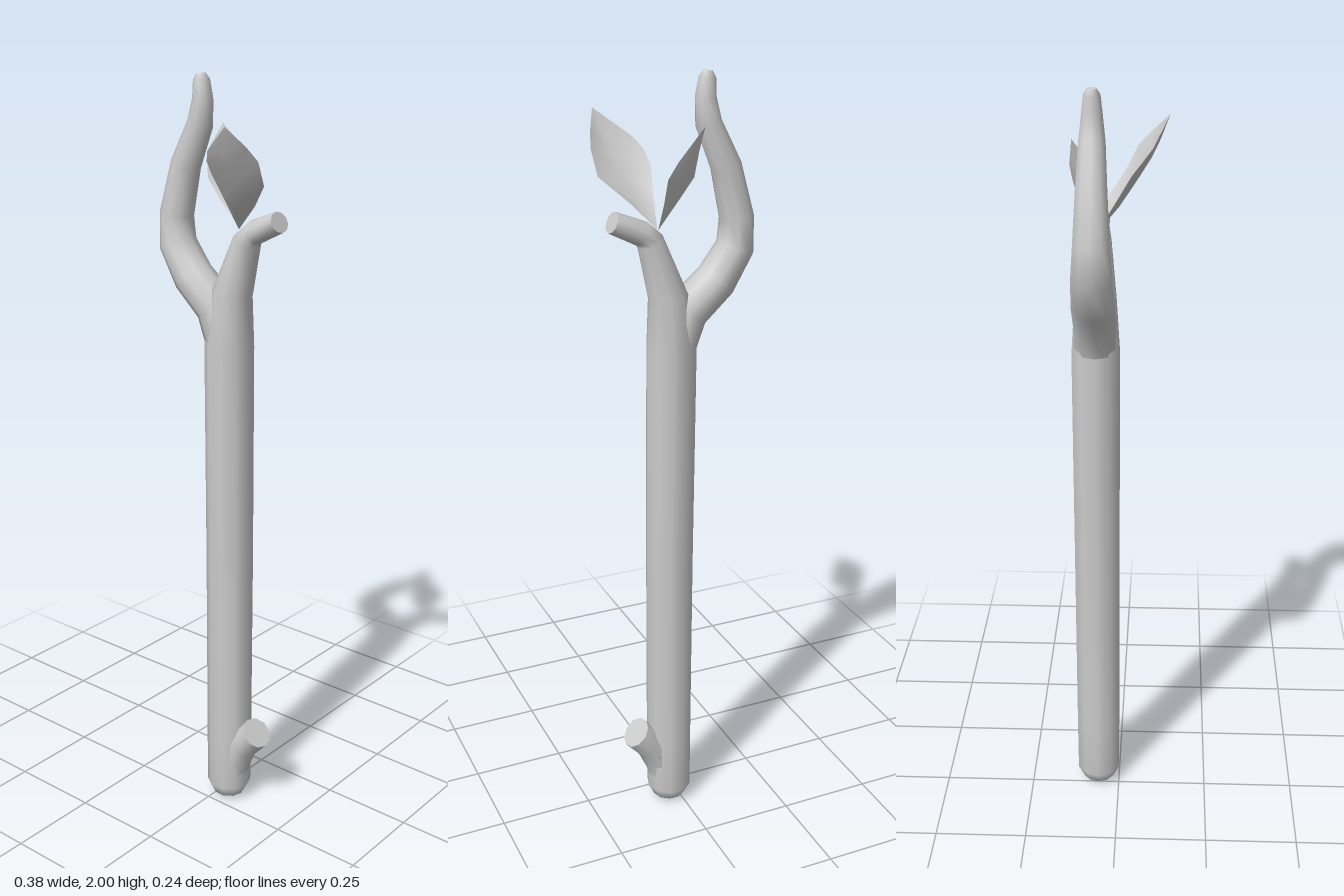
import * as THREE from 'three';

const SIDES = 10;
const AXIS_Z = -0.059;

const bark = new THREE.MeshStandardMaterial({ color: 0xcccccc });
const leafMaterial = new THREE.MeshStandardMaterial({ color: 0xcccccc, side: THREE.DoubleSide });

// Sweeps a ring along stations [x, y, radius, zRadius?] in an upright plane, with flat end caps.
function limb(name, stations) {
  const positions = [];
  const index = [];
  const rings = stations.map(([x, y, r, rz = r], i) => {
    const before = stations[Math.max(i - 1, 0)];
    const after = stations[Math.min(i + 1, stations.length - 1)];
    const t = new THREE.Vector2(after[0] - before[0], after[1] - before[1]).normalize();
    return Array.from({ length: SIDES }, (_, j) => {
      const a = (j / SIDES) * Math.PI * 2;
      const c = Math.cos(a) * r;
      return [x + t.y * c, y - t.x * c, AXIS_Z + Math.sin(a) * rz];
    });
  });
  rings.forEach((ring) => ring.forEach((p) => positions.push(...p)));
  for (let i = 0; i < rings.length - 1; i++) {
    for (let j = 0; j < SIDES; j++) {
      const k = (j + 1) % SIDES;
      const a = i * SIDES + j, b = a + SIDES, c = (i + 1) * SIDES + k, d = i * SIDES + k;
      index.push(a, b, c, a, c, d);
    }
  }
  // Caps have their own vertices so that the rim stays sharp
  [0, rings.length - 1].forEach((i) => {
    const start = positions.length / 3;
    rings[i].forEach((p) => positions.push(...p));
    for (let j = 1; j < SIDES - 1; j++) {
      if (i === 0) index.push(start, start + j, start + j + 1);
      else index.push(start, start + j + 1, start + j);
    }
  });
  return build(name, positions, index, bark);
}

// Lofts a cupped leaf from rows of left edge, midrib and right edge points between base and tip.
function leaf(name, base, rows, tip) {
  const positions = [...base, ...rows.flat(2), ...tip];
  const last = 1 + rows.length * 3;
  const index = [0, 2, 1, 0, 3, 2];
  for (let i = 0; i < rows.length - 1; i++) {
    for (let j = 0; j < 2; j++) {
      const a = 1 + i * 3 + j;
      index.push(a, a + 1, a + 4, a, a + 4, a + 3);
    }
  }
  index.push(last - 3, last - 2, last, last - 2, last - 1, last);
  return build(name, positions, index, leafMaterial);
}

function build(name, positions, index, material) {
  const geometry = new THREE.BufferGeometry();
  geometry.setAttribute('position', new THREE.Float32BufferAttribute(positions, 3));
  geometry.setIndex(index);
  geometry.computeVertexNormals();
  const mesh = new THREE.Mesh(geometry, material);
  mesh.name = name;
  return mesh;
}

export function createModel() {
  const model = new THREE.Group();
  model.name = 'branchStaff';

  // Trunk with rounded foot, narrowing into the short upper branch
  model.add(limb('trunk', [
    [0.028, 0.0, 0.022], [0.028, 0.012, 0.044], [0.028, 0.045, 0.061], [0.028, 0.2, 0.062],
    [0.025, 0.75, 0.063], [0.019, 1.33, 0.064], [0.028, 1.47, 0.05, 0.055],
    [0.074, 1.61, 0.034, 0.04], [0.098, 1.632, 0.031, 0.034], [0.172, 1.665, 0.027, 0.032],
  ]));

  // Long curved branch ending in a blunt tip
  model.add(limb('curvedBranch', [
    [0.019, 1.32, 0.055], [-0.02, 1.425, 0.056], [-0.1, 1.495, 0.052, 0.055],
    [-0.152, 1.575, 0.047, 0.052], [-0.155, 1.65, 0.043, 0.046], [-0.124, 1.777, 0.039],
    [-0.077, 1.88, 0.033], [-0.069, 1.94, 0.026], [-0.073, 1.985, 0.021], [-0.075, 2.0, 0.011],
  ]));

  // Cut stub near the foot
  model.add(limb('lowerStub', [
    [0.035, 0.06, 0.045], [0.052, 0.125, 0.046], [0.08, 0.185, 0.046], [0.126, 0.232, 0.043, 0.047],
  ]));

  // Pair of leaves at the upper branch
  model.add(leaf('frontLeaf', [0.053, 1.635, -0.052], [
    [[0.042, 1.72, -0.002], [0.077, 1.692, 0.0], [0.115, 1.7, -0.035]],
    [[0.034, 1.775, 0.03], [0.103, 1.755, 0.045], [0.178, 1.76, 0.012]],
    [[0.041, 1.81, 0.058], [0.117, 1.805, 0.078], [0.183, 1.82, 0.042]],
    [[0.062, 1.838, 0.082], [0.128, 1.845, 0.098], [0.172, 1.855, 0.073]],
  ], [0.147, 1.904, 0.122]));

  model.add(leaf('backLeaf', [0.053, 1.635, -0.058], [
    [[-0.006, 1.702, -0.05], [0.03, 1.695, -0.084], [0.056, 1.705, -0.1]],
    [[-0.045, 1.752, -0.05], [0.008, 1.748, -0.1], [0.052, 1.765, -0.115]],
    [[-0.054, 1.815, -0.058], [-0.015, 1.81, -0.108], [0.028, 1.805, -0.12]],
  ], [-0.045, 1.88, -0.109]));

  return model;
}
